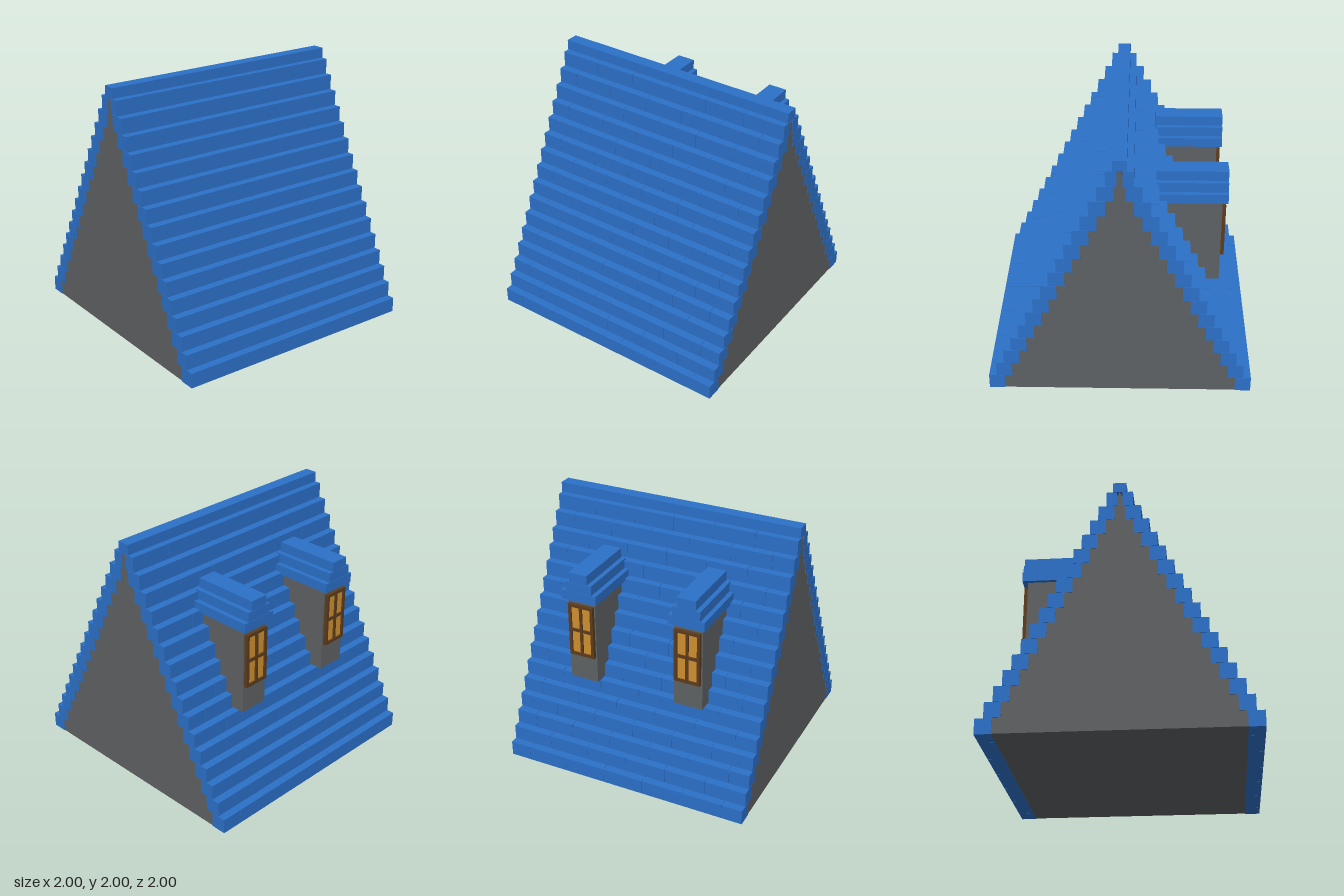
import * as THREE from 'three';

const mat = (name, color) => {
  const m = new THREE.MeshStandardMaterial({ color });
  m.name = name;
  return m;
};

export function createModel() {
  const blue = mat('roof blue', 0x2c70c8);
  const grey = mat('wall grey', 0x5e6163);
  const brown = mat('frame brown', 0x5c3c1c);
  const amber = mat('window amber', 0xce9030);

  const model = new THREE.Group();
  model.name = 'roof';

  // box given by its extents on each axis
  const box = (parent, name, material, x0, x1, y0, y1, z0, z1) => {
    const mesh = new THREE.Mesh(new THREE.BoxGeometry(x1 - x0, y1 - y0, z1 - z0), material);
    mesh.position.set((x0 + x1) / 2, (y0 + y1) / 2, (z0 + z1) / 2);
    mesh.name = name;
    parent.add(mesh);
    return mesh;
  };

  // triangular gable core, tucked just inside the tile ends
  const tri = new THREE.Shape([
    new THREE.Vector2(-0.958, 0.003),
    new THREE.Vector2(0.958, 0.003),
    new THREE.Vector2(0, 1.92),
  ]);
  const coreGeo = new THREE.ExtrudeGeometry(tri, { depth: 1.994, bevelEnabled: false });
  coreGeo.translate(0, 0, -0.997);
  coreGeo.rotateY(Math.PI / 2);
  const core = new THREE.Mesh(coreGeo, grey);
  core.name = 'gableCore';
  model.add(core);

  // stepped courses of tiles in running bond on both slopes
  const rise = 0.12, gap = 0.001;
  for (let i = 0; i < 16; i++) {
    const outer = 1 - 0.06 * i;
    const inner = Math.max(outer - 0.12, 0.02);
    const joints = [-1];
    for (let x = i % 2 ? -2 / 3 : -5 / 6; x < 0.99; x += 1 / 3) joints.push(x);
    joints.push(1);
    for (const side of [1, -1]) {
      const course = new THREE.Group();
      course.name = side > 0 ? 'frontCourse' : 'backCourse';
      model.add(course);
      for (let j = 0; j < joints.length - 1; j++) {
        const a = joints[j] + (j ? gap : 0);
        const b = joints[j + 1] - (j < joints.length - 2 ? gap : 0);
        const z0 = side > 0 ? inner : -outer, z1 = side > 0 ? outer : -inner;
        box(course, 'tile', blue, a, b, i * rise, (i + 1) * rise - 0.002, z0, z1);
      }
    }
  }
  box(model, 'ridge', blue, -1, 1, 1.92, 2, -0.05, 0.05);

  // dormers on the back slope
  for (const side of [1, -1]) {
    const d = new THREE.Group();
    d.name = side > 0 ? 'leftDormer' : 'rightDormer';
    d.position.x = side * 0.44;
    model.add(d);

    // body runs forward into the core, its buried edge following the slope
    const profile = new THREE.Shape([
      new THREE.Vector2(0.75, 0.73),
      new THREE.Vector2(0.75, 1.42),
      new THREE.Vector2(0.24, 1.42),
      new THREE.Vector2(0.52, 0.73),
    ]);
    const bodyGeo = new THREE.ExtrudeGeometry(profile, { depth: 0.23, bevelEnabled: false });
    bodyGeo.translate(0, 0, -0.115);
    bodyGeo.rotateY(Math.PI / 2);
    const body = new THREE.Mesh(bodyGeo, grey);
    body.name = 'dormerBody';
    d.add(body);

    // three stepped roof tiers
    [0.145, 0.11, 0.075].forEach((w, k) => {
      const y = 1.418 + k * 0.078;
      box(d, 'dormerRoofTier', blue, -w, w, y, y + 0.076, -0.79, -0.26);
    });

    // window: frame bars around four panes
    box(d, 'windowGlass', amber, -0.09, 0.09, 0.96, 1.37, -0.766, -0.758);
    for (const [x, w] of [[-0.092, 0.012], [0, 0.011], [0.092, 0.012]])
      box(d, 'windowUpright', brown, x - w, x + w, 0.945, 1.38, -0.778, -0.748);
    for (const y of [0.957, 1.162, 1.368])
      box(d, 'windowRail', brown, -0.1, 0.1, y - 0.012, y + 0.012, -0.777, -0.748);
  }
  return model;
}
